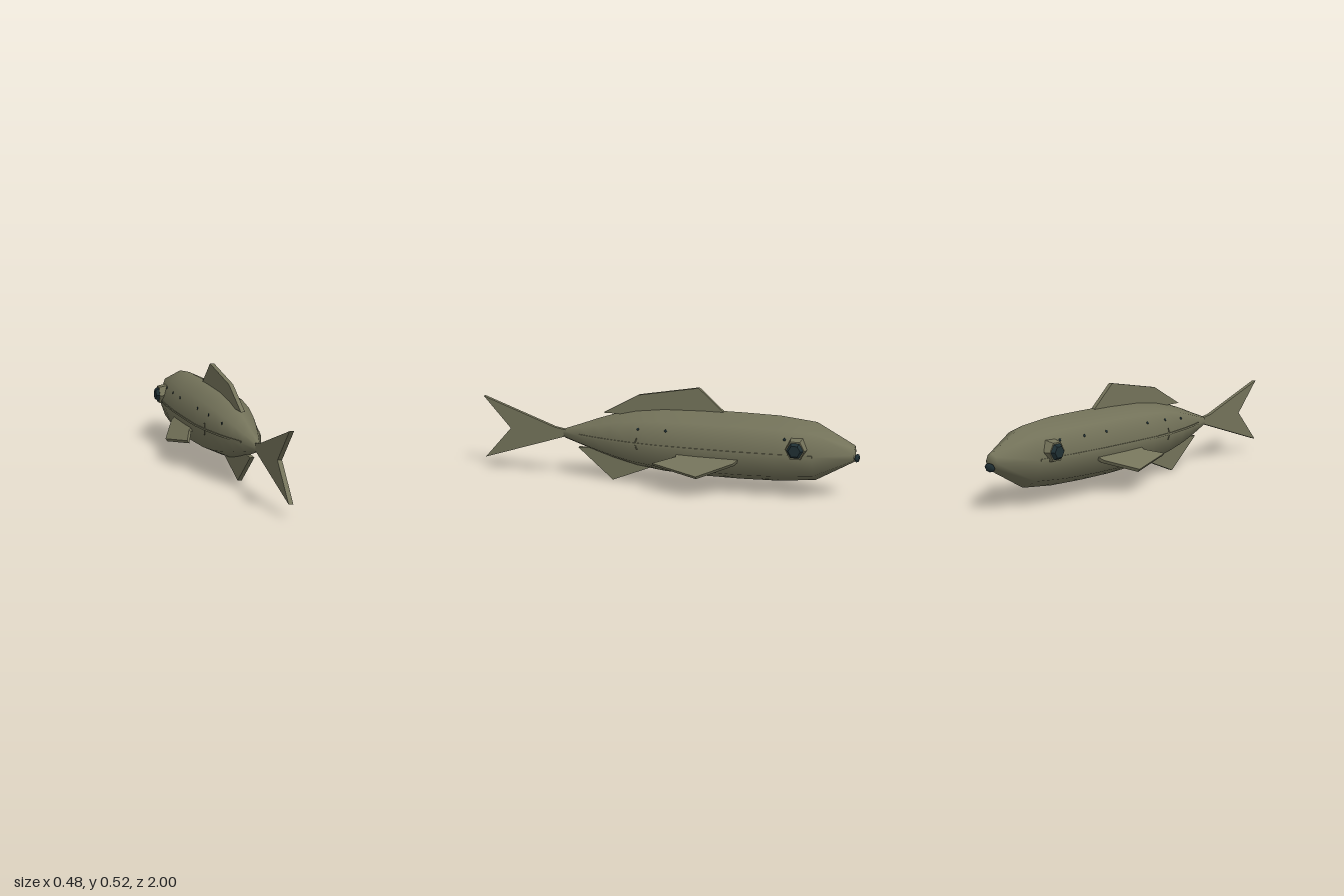
import * as THREE from 'three';

const olive = new THREE.MeshStandardMaterial({ name: 'olive skin', color: 0x74735a });
const dark = new THREE.MeshStandardMaterial({ name: 'dark teal', color: 0x1f2f33 });

// body rings: z, half width, bottom, top
const RINGS = [
  [-0.975, 0.04, 0.195, 0.278], [-0.785, 0.128, 0.086, 0.382], [-0.6, 0.147, 0.066, 0.402],
  [-0.4, 0.155, 0.06, 0.405], [-0.2, 0.154, 0.06, 0.405], [0, 0.148, 0.068, 0.399],
  [0.15, 0.129, 0.086, 0.381], [0.27, 0.104, 0.115, 0.352], [0.36, 0.08, 0.142, 0.322],
  [0.45, 0.05, 0.172, 0.288], [0.55, 0.014, 0.205, 0.252],
];
const SIDES = 8;

function bodyGeometry() {
  const pos = [], idx = [];
  for (const [z, w, lo, hi] of RINGS)
    for (let j = 0; j < SIDES; j++) {
      const a = (j / SIDES) * Math.PI * 2;
      pos.push(w * Math.sin(a), (lo + hi) / 2 + ((hi - lo) / 2) * Math.cos(a), z);
    }
  const last = RINGS.length - 1;
  for (let i = 0; i < last; i++)
    for (let j = 0; j < SIDES; j++) {
      const k = (j + 1) % SIDES;
      const a = i * SIDES + j, b = i * SIDES + k, c = a + SIDES, d = b + SIDES;
      idx.push(a, c, b, b, c, d);
    }
  // snout and tail caps
  const nose = pos.length / 3;
  pos.push(0, 0.236, -0.98, 0, 0.23, 0.555);
  for (let j = 0; j < SIDES; j++) {
    const k = (j + 1) % SIDES;
    idx.push(nose, j, k, nose + 1, last * SIDES + k, last * SIDES + j);
  }
  const g = new THREE.BufferGeometry();
  g.setAttribute('position', new THREE.Float32BufferAttribute(pos, 3));
  g.setIndex(idx);
  g.computeVertexNormals();
  return g;
}

// half width of the flank at a given z and height
function flankX(z, y) {
  let i = 0;
  while (i < RINGS.length - 2 && RINGS[i + 1][0] < z) i++;
  const t = (z - RINGS[i][0]) / (RINGS[i + 1][0] - RINGS[i][0]);
  const [, w, lo, hi] = RINGS[i].map((v, n) => v + (RINGS[i + 1][n] - v) * t);
  const k = Math.abs(y - (lo + hi) / 2) / (((hi - lo) / 2) * Math.SQRT1_2);
  return w * (1 - k * (1 - Math.SQRT1_2));
}

function plate(points, depth) {
  const shape = new THREE.Shape(points.map(([a, b]) => new THREE.Vector2(a, b)));
  return new THREE.ExtrudeGeometry(shape, { depth, bevelEnabled: false }).translate(0, 0, -depth / 2);
}

export function createModel() {
  const fish = new THREE.Group();
  fish.name = 'fish';
  const add = (name, geometry, material) => {
    const mesh = new THREE.Mesh(geometry, material);
    mesh.name = name;
    fish.add(mesh);
    return mesh;
  };

  add('body', bodyGeometry(), olive);

  // upright fins on the centre line, outlined as z, y
  const fins = {
    dorsalFin: [[0.33, 0.355], [0.14, 0.46], [-0.18, 0.516], [-0.31, 0.4], [-0.2, 0.37], [0.2, 0.355]],
    analFin: [[0.47, 0.16], [0.28, 0], [0.08, 0.08], [0.15, 0.13], [0.35, 0.165]],
    tailFin: [[0.52, 0.245], [0.6, 0.258], [1, 0.4], [0.85, 0.235], [1, 0.067], [0.55, 0.21]],
  };
  for (const [name, outline] of Object.entries(fins))
    add(name, plate(outline, 0.022).rotateY(-Math.PI / 2), olive);

  for (const s of [1, -1]) {
    const side = s > 0 ? 'left' : 'right';

    // sloping pectoral fin
    const outline = [[0, -0.43], [0.045, -0.4], [0.144, -0.23], [0.082, 0.01], [0.03, -0.1], [0, -0.1]];
    add(side + 'PectoralFin', plate(outline.map(([d, z]) => [s * d, z]), 0.018)
      .rotateX(Math.PI / 2).rotateZ(-s * 0.65).translate(s * 0.12, 0.2, 0), olive);

    // lateral ridge following the flank
    const inner = RINGS.slice(1, -1).map(([z, w]) => [s * (w - 0.03), z]).reverse();
    const outer = RINGS.slice(1, -1).map(([z, w]) => [s * (w + 0.002), z]);
    add(side + 'LateralLine', plate([...outer, ...inner], 0.01)
      .rotateX(Math.PI / 2).translate(0, 0.235, 0), olive);

    // six-sided eye rim and pupil
    const eye = (name, rTop, rBase, from, to, ry, mat) => {
      const g = new THREE.CylinderGeometry(rTop, rBase, to - from, 6).toNonIndexed();
      g.rotateZ(-s * Math.PI / 2).scale(1, ry, 1);
      g.computeVertexNormals();
      add(side + name, g.translate(s * (from + to) / 2, 0.267, -0.705), mat);
    };
    eye('EyeRim', 0.048, 0.058, 0.1, 0.152, 1.05, olive);
    eye('Pupil', 0.03, 0.044, 0.15, 0.169, 1, dark);

    // small curved crease on the rear flank
    add(side + 'Crease', new THREE.TorusGeometry(0.05, 0.003, 4, 8, 1.3).rotateZ(-0.65)
      .rotateY(-Math.PI / 2).translate(s * (flankX(0.115, 0.235) - 0.003), 0.235, 0.068), olive);

    // dark spots along the upper flank
    const spots = s > 0
      ? [[-0.645, 0.31], [-0.04, 0.31], [0.11, 0.305]]
      : [[-0.65, 0.31], [-0.495, 0.31], [-0.345, 0.31], [-0.04, 0.31], [0.11, 0.305], [0.26, 0.29]];
    for (const [z, y] of spots)
      add(side + 'Spot', new THREE.SphereGeometry(0.008, 6, 4)
        .scale(0.5, 1, 1).translate(s * flankX(z, y), y, z), dark);
  }

  // small dark mouth at the tip of the snout
  add('mouth', new THREE.SphereGeometry(1, 6, 4).scale(0.036, 0.021, 0.013).translate(0, 0.214, -0.987), dark);

  return fish;
}
